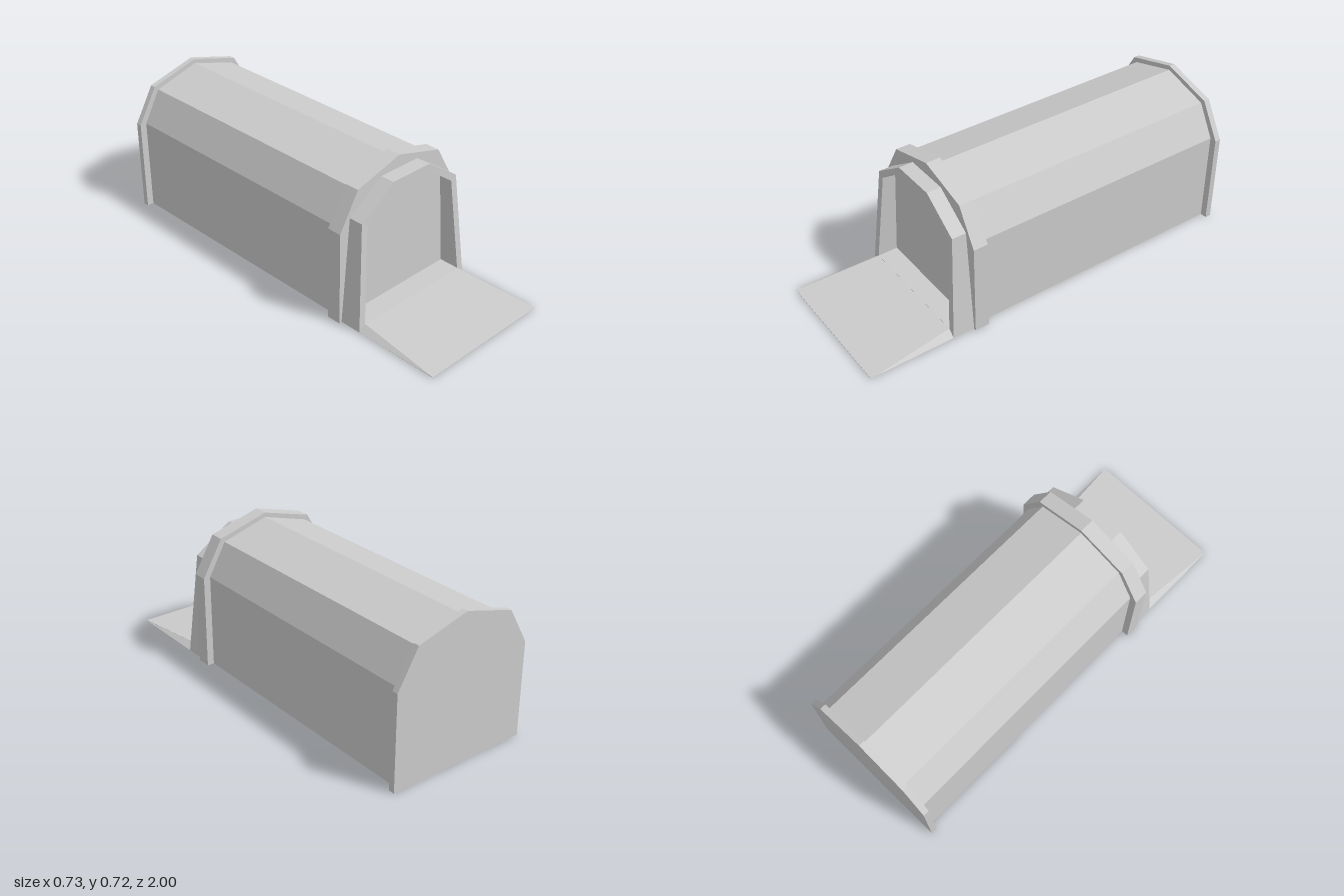
import * as THREE from 'three';

// Half profiles run from the bottom right corner up to the top centre.
const BODY = [[0.33, 0], [0.33, 0.47], [0.24, 0.63], [0, 0.7]];
const COLLAR = [[0.365, 0], [0.365, 0.47], [0.26, 0.65], [0, 0.723]];
const FRAME = [[0.352, 0.004], [0.307, 0.53], [0.116, 0.661]];
const OPENING = [[0.315, 0.032], [0.274, 0.511], [0.108, 0.631]];
const VESTIBULE = [[0.28, 0.032], [0.266, 0.42], [0.2, 0.54], [0, 0.6]];

const grey = new THREE.MeshStandardMaterial({ color: 0xcccccc, flatShading: true });
const thin = new THREE.MeshStandardMaterial({ color: 0xcccccc, flatShading: true, side: THREE.DoubleSide });

// Mirror a half profile into a full outline.
function outline(half) {
  const left = half.filter(([x]) => x > 0).reverse().map(([x, y]) => [-x, y]);
  return [...half, ...left].map(([x, y]) => new THREE.Vector2(x, y));
}

// Extrude a profile between two z positions, optionally with a hole.
function slab(half, z0, z1, hole) {
  const shape = new THREE.Shape(outline(half));
  if (hole) shape.holes.push(new THREE.Path(outline(hole)));
  const geometry = new THREE.ExtrudeGeometry(shape, { depth: z1 - z0, bevelEnabled: false });
  return geometry.translate(0, 0, z0);
}

// Open sheet following a profile, without floor or ends.
function sheet(half, z0, z1) {
  const positions = [];
  const index = [];
  outline(half).forEach((p, i, all) => {
    positions.push(p.x, p.y, z0, p.x, p.y, z1);
    const a = i * 2;
    if (i < all.length - 1) index.push(a, a + 2, a + 1, a + 1, a + 2, a + 3);
  });
  const geometry = new THREE.BufferGeometry();
  geometry.setAttribute('position', new THREE.Float32BufferAttribute(positions, 3));
  geometry.setIndex(index);
  geometry.computeVertexNormals();
  return geometry;
}

// Wedge that falls from the sill to the ground, with sloping cheeks.
function rampWedge() {
  const geometry = new THREE.BoxGeometry(1, 1, 1);
  const p = geometry.attributes.position;
  for (let i = 0; i < p.count; i++) {
    const front = p.getZ(i) > 0;
    const top = p.getY(i) > 0;
    const half = top && !front ? 0.315 : 0.352;
    const y = top ? (front ? 0.006 : 0.032) : 0.004;
    p.setXYZ(i, Math.sign(p.getX(i)) * half, y, front ? 1 : 0.568);
  }
  geometry.computeVertexNormals();
  return geometry;
}

export function createModel() {
  const group = new THREE.Group();
  const add = (name, geometry, material = grey) => {
    const mesh = new THREE.Mesh(geometry, material);
    mesh.name = name;
    group.add(mesh);
  };

  // Long vaulted shell, open underneath
  add('vaultedShell', sheet(BODY, -0.97, 0.39), thin);

  // Closing wall at the back and collar at the front
  add('backWall', slab(COLLAR, -1, -0.97));
  add('frontCollar', slab(COLLAR, 0.385, 0.458, BODY));
  add('frontWall', slab(BODY, 0.452, 0.458));

  // Vestibule block reaching into the shell
  add('vestibule', slab(VESTIBULE, 0.03, 0.455));

  // Door frame whose lower part leans forward
  const frame = slab(FRAME, 0.455, 0.53, OPENING);
  const p = frame.attributes.position;
  for (let i = 0; i < p.count; i++) {
    if (p.getZ(i) > 0.5) p.setZ(i, 0.53 + 0.04 * Math.max(0, 1 - p.getY(i) / 0.53));
  }
  frame.computeVertexNormals();
  add('doorFrame', frame);

  // Door panel set back in the frame
  add('door', slab(OPENING, 0.455, 0.465));

  // Entrance ramp
  add('ramp', rampWedge());

  return group;
}
